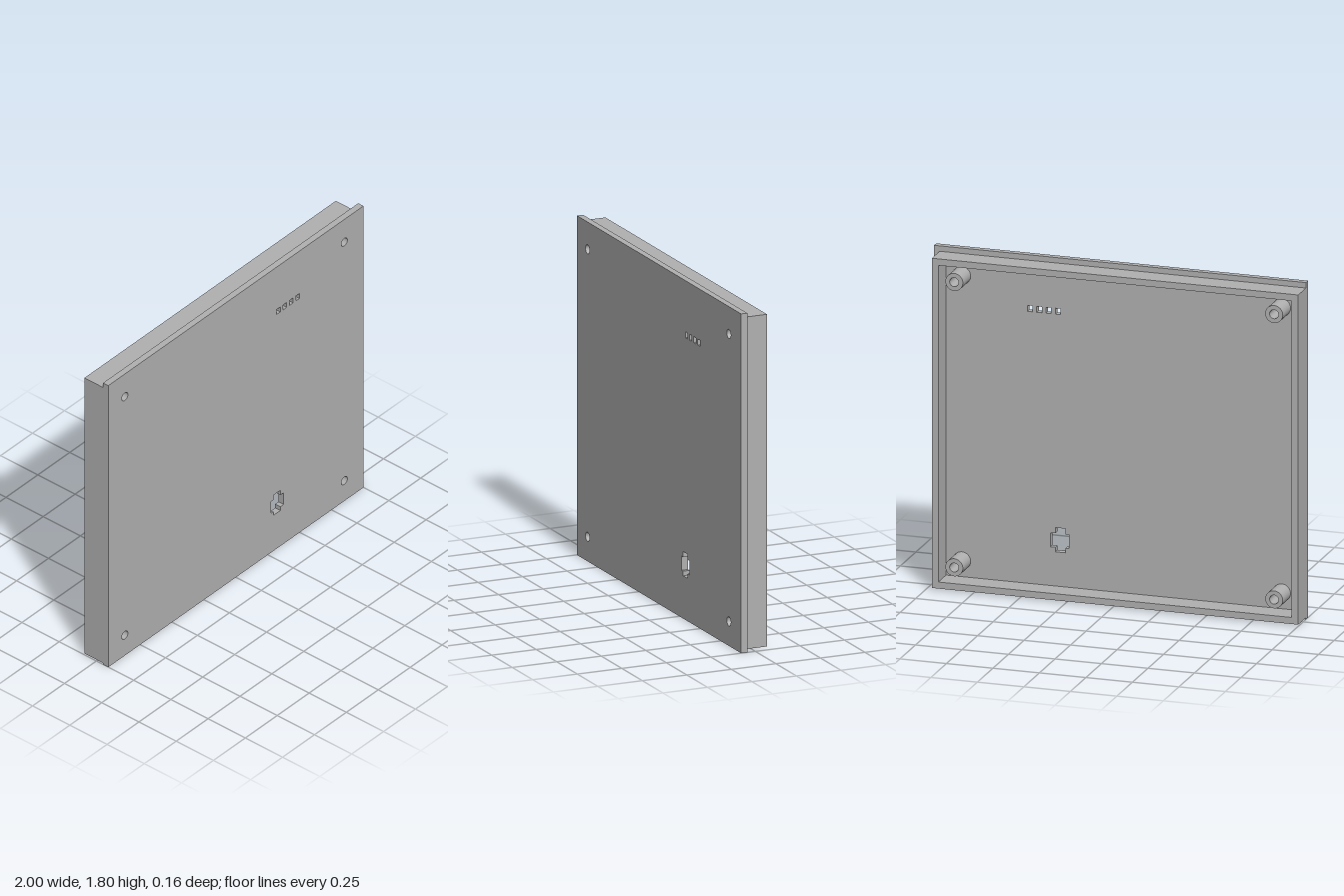
import * as THREE from 'three';

const FRONT = 0.08, PLATE_BACK = 0.045, BACK = -0.08;

// Closed path helpers
function trace(target, points) {
  points.forEach(([x, y], i) => (i ? target.lineTo(x, y) : target.moveTo(x, y)));
  target.closePath();
  return target;
}
const rect = (target, x0, y0, x1, y1) =>
  trace(target, [[x0, y0], [x1, y0], [x1, y1], [x0, y1]]);
const circle = (target, x, y, r) => target.absarc(x, y, r, 0, Math.PI * 2, false);

export function createModel() {
  const group = new THREE.Group();
  group.name = 'enclosureCover';
  const grey = new THREE.MeshStandardMaterial({ color: 0xb0b0b0 });
  grey.name = 'grey plastic';

  function addPart(name, shape, z0, z1) {
    const geometry = new THREE.ExtrudeGeometry(shape, {
      depth: z1 - z0, bevelEnabled: false, curveSegments: 20,
    });
    geometry.translate(0, 0, z0);
    const mesh = new THREE.Mesh(geometry, grey);
    mesh.name = name;
    group.add(mesh);
  }

  const screws = [];
  for (const x of [-0.87, 0.85]) for (const y of [0.13, 1.655]) screws.push([x, y]);
  const holeRadius = 0.024;

  // Front plate with screw holes, indicator slots and a stepped opening
  const plate = rect(new THREE.Shape(), -1, 0, 1, 1.8);
  for (const [x, y] of screws) plate.holes.push(circle(new THREE.Path(), x, y, holeRadius));
  for (let i = 0; i < 4; i++) {
    const x = 0.334 + i * 0.05, y = 1.513;
    plate.holes.push(rect(new THREE.Path(), x - 0.014, y - 0.016, x + 0.014, y + 0.016));
  }
  plate.holes.push(trace(new THREE.Path(), [
    [0.294, 0.227], [0.348, 0.227], [0.348, 0.251], [0.374, 0.251],
    [0.374, 0.326], [0.348, 0.326], [0.348, 0.356], [0.294, 0.356],
    [0.294, 0.326], [0.275, 0.326], [0.275, 0.251], [0.294, 0.251],
  ]));
  addPart('frontPlate', plate, PLATE_BACK, FRONT);

  // Rim wall around the back, flush with the plate on one side only
  const t = 0.035;
  const rim = rect(new THREE.Shape(), -1, 0.009, 0.97, 1.771);
  rim.holes.push(rect(new THREE.Path(), -1 + t, 0.009 + t, 0.97 - t, 1.771 - t));
  addPart('rimWall', rim, BACK, PLATE_BACK);

  // Hollow screw bosses
  screws.forEach(([x, y], i) => {
    const boss = circle(new THREE.Shape(), x, y, 0.047);
    boss.holes.push(circle(new THREE.Path(), x, y, holeRadius));
    addPart(`screwBoss${i + 1}`, boss, BACK, PLATE_BACK);
  });

  // Smooth the round walls of the bosses
  group.children.filter((m) => m.name.startsWith('screwBoss')).forEach((mesh, i) => {
    const { position: p, normal: n } = mesh.geometry.attributes;
    const [cx, cy] = screws[i];
    for (let v = 0; v < p.count; v++) {
      if (Math.abs(n.getZ(v)) > 0.5) continue;
      const dx = p.getX(v) - cx, dy = p.getY(v) - cy, r = Math.hypot(dx, dy);
      const s = r > 0.035 ? 1 / r : -1 / r;
      n.setXYZ(v, dx * s, dy * s, 0);
    }
  });

  return group;
}
